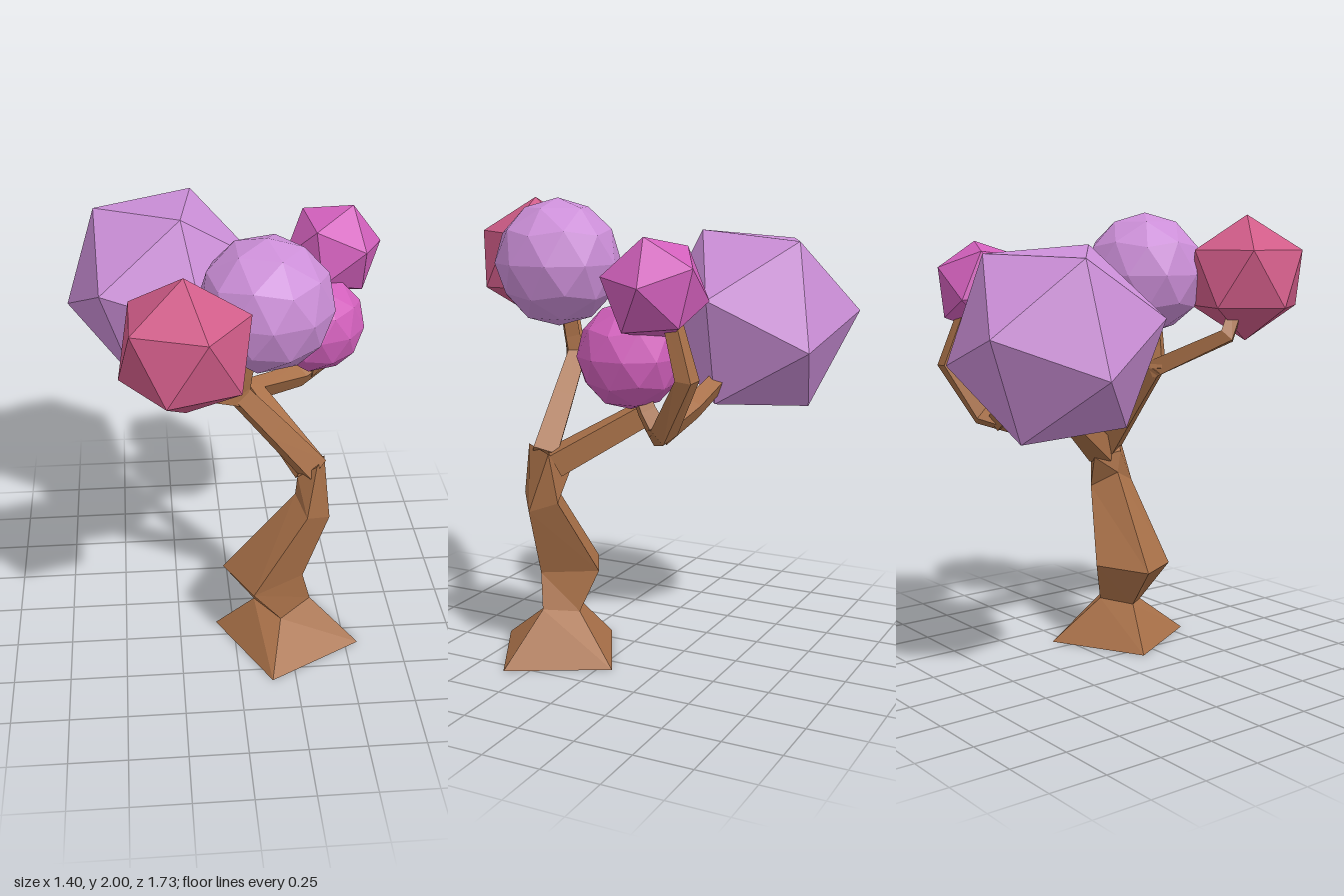
import * as THREE from 'three';

const V = (p) => new THREE.Vector3(...p);
const material = (color) => new THREE.MeshStandardMaterial({ color, flatShading: true });

// Skin a list of four-cornered rings, closing both ends
function loft(rings) {
  const pos = [];
  const tri = (...pts) => pts.forEach((p) => pos.push(p.x, p.y, p.z));
  for (let r = 0; r < rings.length - 1; r++) {
    const a = rings[r], b = rings[r + 1];
    for (let i = 0; i < 4; i++) {
      const j = (i + 1) % 4;
      tri(a[i], b[i], b[j]);
      tri(a[i], b[j], a[j]);
    }
  }
  const s = rings[0], e = rings[rings.length - 1];
  tri(s[0], s[1], s[2]); tri(s[0], s[2], s[3]);
  tri(e[0], e[2], e[1]); tri(e[0], e[3], e[2]);
  const geo = new THREE.BufferGeometry();
  geo.setAttribute('position', new THREE.Float32BufferAttribute(pos, 3));
  geo.computeVertexNormals();
  return geo;
}

// Square-section limb along [x, y, z, radius] points
function limb(path) {
  const pts = path.map((p) => V(p.slice(0, 3)));
  const u = V([0.6, 0, 0.8]);
  const rings = pts.map((p, i) => {
    const before = p.clone().sub(pts[Math.max(i - 1, 0)]).normalize();
    const after = pts[Math.min(i + 1, pts.length - 1)].clone().sub(p).normalize();
    const t = before.add(after).normalize();
    u.addScaledVector(t, -u.dot(t)).normalize();
    const v = u.clone().cross(t);
    return [0, 1, 2, 3].map((k) => {
      const a = Math.PI / 4 + k * Math.PI / 2;
      return p.clone().addScaledVector(u, Math.cos(a) * path[i][3])
        .addScaledVector(v, Math.sin(a) * path[i][3]);
    });
  });
  return loft(rings);
}

// Icosahedron turned so that one of its edges runs from direction a to direction b
function crown(radius, detail, a = [0, 1, 0], b = [0.894, 0.447, 0]) {
  const va = V(a).normalize(), vb = V(b).normalize();
  const y = va.clone().add(vb).normalize();
  const x = vb.clone().sub(va);
  x.addScaledVector(y, -x.dot(y)).normalize();
  const z = x.clone().cross(y);
  return new THREE.IcosahedronGeometry(radius, detail)
    .applyMatrix4(new THREE.Matrix4().makeBasis(x, y, z));
}

export function createModel() {
  const tree = new THREE.Group();
  tree.name = 'tree';
  const add = (name, geo, mat, at = [0, 0, 0]) => {
    const mesh = new THREE.Mesh(geo, mat);
    mesh.name = name;
    mesh.position.set(...at);
    tree.add(mesh);
  };
  const bark = material(0xa87048);
  const lavender = material(0xcc8fd8);
  const magenta = material(0xd260bc);
  const rose = material(0xd05c88);

  // Crooked trunk: each ring is its left, front, right and back corner
  const trunk = [
    [[0.56, 0, 0.35], [0.145, 0, 0.575], [-0.08, 0, 0.16], [0.335, 0, -0.06]],
    [[0.34, 0.22, 0.28], [0.2, 0.17, 0.36], [0.09, 0.19, 0.23], [0.24, 0.2, 0.15]],
    [[0.3, 0.375, 0.31], [0.07, 0.365, 0.43], [-0.05, 0.37, 0.21], [0.18, 0.38, 0.085]],
    [[0.41, 0.68, 0.3], [0.3, 0.735, 0.385], [0.26, 0.79, 0.27], [0.36, 0.72, 0.185]],
    [[0.39, 0.94, 0.21], [0.34, 0.965, 0.335], [0.265, 0.89, 0.29], [0.29, 0.87, 0.155]],
  ];
  add('trunk', loft(trunk.map((ring) => ring.map(V))), bark);

  // Limbs and the twigs that carry each crown
  const limbs = {
    frontBranch: [[0.33, 0.92, 0.265, 0.075], [0.15, 1.14, 0.275, 0.065], [0, 1.32, 0.285, 0.055]],
    roseTwig: [[0.02, 1.3, 0.28, 0.055], [-0.27, 1.46, 0.47, 0.045], [-0.25, 1.6, 0.55, 0.04]],
    frontCrownTwig: [[0, 1.3, 0.285, 0.055], [0.02, 1.4, 0.3, 0.045], [0.05, 1.56, 0.31, 0.04]],
    backBranch: [[0.325, 0.89, 0.22, 0.075], [0.1, 1.1, -0.11, 0.068],
      [0.34, 1.07, -0.28, 0.055], [0.45, 1.1, -0.36, 0.055],
      [0.52, 1.33, -0.49, 0.05], [0.49, 1.56, -0.41, 0.04]],
    largeCrownTwig: [[0.38, 1.08, -0.31, 0.055], [0.2, 1.16, -0.37, 0.05], [-0.05, 1.26, -0.4, 0.045]],
    smallCrownTwig: [[0.4, 1.09, -0.31, 0.05], [0.4, 1.17, -0.26, 0.045], [0.39, 1.3, -0.2, 0.04]],
  };
  for (const [name, path] of Object.entries(limbs)) add(name, limb(path), bark);

  // Faceted foliage
  add('largeCrown', crown(0.45, 0, [0.145, 0.35, -0.245], [0.08, 0.38, 0.22]), lavender, [-0.275, 1.48, -0.455]);
  add('frontCrown', crown(0.275, 1), lavender, [0.115, 1.725, 0.31]);
  add('roseCrown', crown(0.28, 0), rose, [-0.22, 1.71, 0.625]);
  add('smallCrown', crown(0.22, 1), magenta, [0.385, 1.39, -0.18]);
  add('tipCrown', crown(0.22, 0, [0.08, 0.2, 0.01], [0.22, 0.02, -0.03]), magenta, [0.475, 1.67, -0.33]);
  return tree;
}
